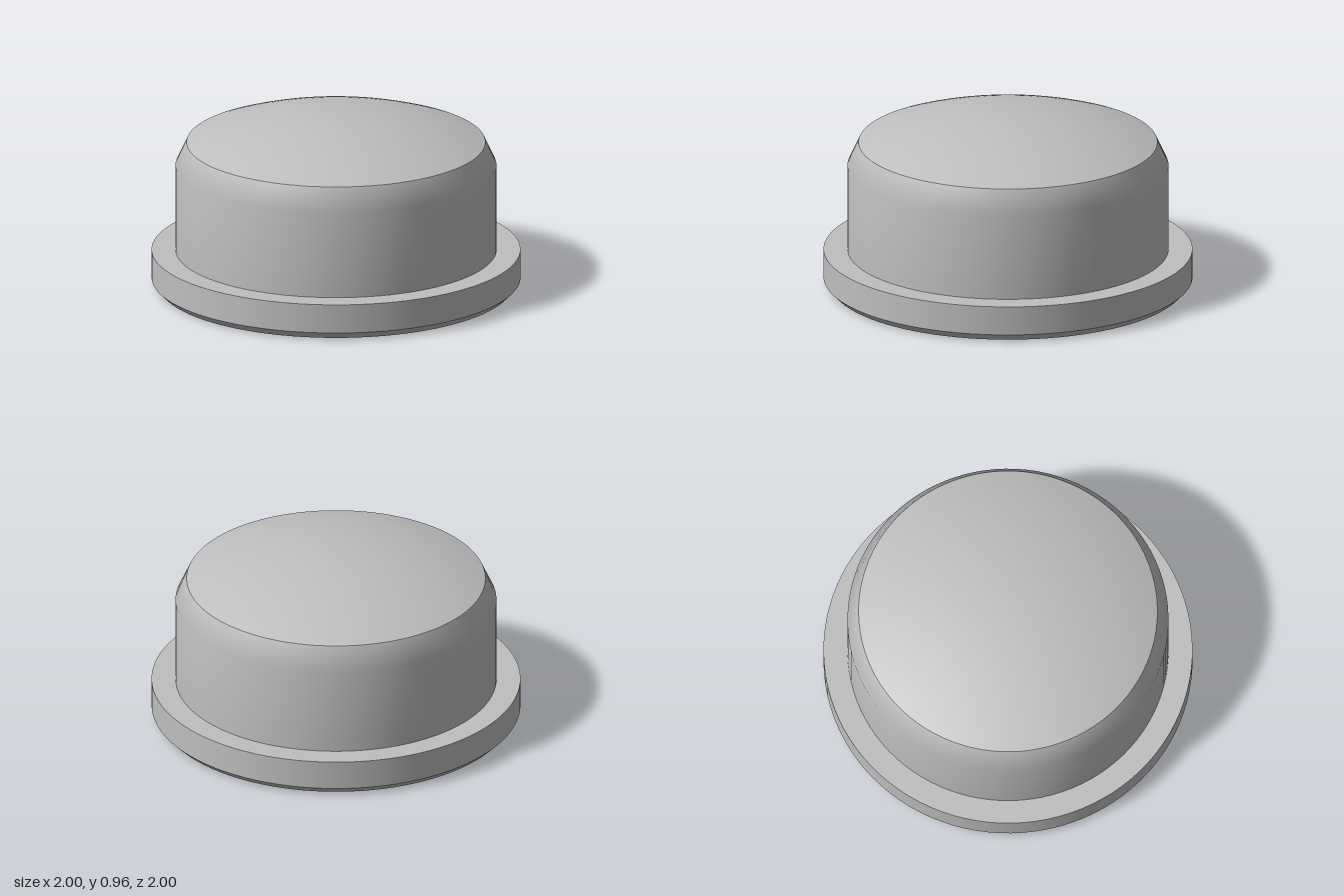
import * as THREE from 'three';

const SEGMENTS = 96;

export function createModel() {
  const model = new THREE.Group();
  const grey = new THREE.MeshStandardMaterial({ color: 0xbfbfbf });
  grey.name = 'light grey';

  // One smooth surface of revolution; separate bands keep sharp edges between them
  function band(name, parent, points) {
    const profile = points.map(([r, y]) => new THREE.Vector2(r, y));
    const mesh = new THREE.Mesh(new THREE.LatheGeometry(profile, SEGMENTS), grey);
    mesh.name = name;
    parent.add(mesh);
  }

  // Flange with a bevelled lower edge
  const flange = new THREE.Group();
  flange.name = 'flange';
  band('flangeBottom', flange, [[0, 0], [0.96, 0]]);
  band('flangeBevel', flange, [[0.96, 0], [1, 0.04]]);
  band('flangeSide', flange, [[1, 0.04], [1, 0.2]]);
  band('flangeTop', flange, [[1, 0.2], [0.87, 0.2]]);

  // Cap body: straight wall running softly into a tapered shoulder
  const cap = new THREE.Group();
  cap.name = 'cap';
  band('capWall', cap, [[0.87, 0.2], [0.87, 0.68], [0.81, 0.81]]);

  // Shallow spherical dome on top
  const rim = 0.81, rise = 0.15, top = 0.96;
  const radius = (rim * rim + rise * rise) / (2 * rise);
  const angle = Math.asin(rim / radius);
  const dome = [];
  for (let i = 0; i <= 16; i++) {
    const a = angle * (1 - i / 16);
    dome.push([radius * Math.sin(a), top - radius * (1 - Math.cos(a))]);
  }
  band('capDome', cap, dome);

  model.add(flange, cap);
  return model;
}
